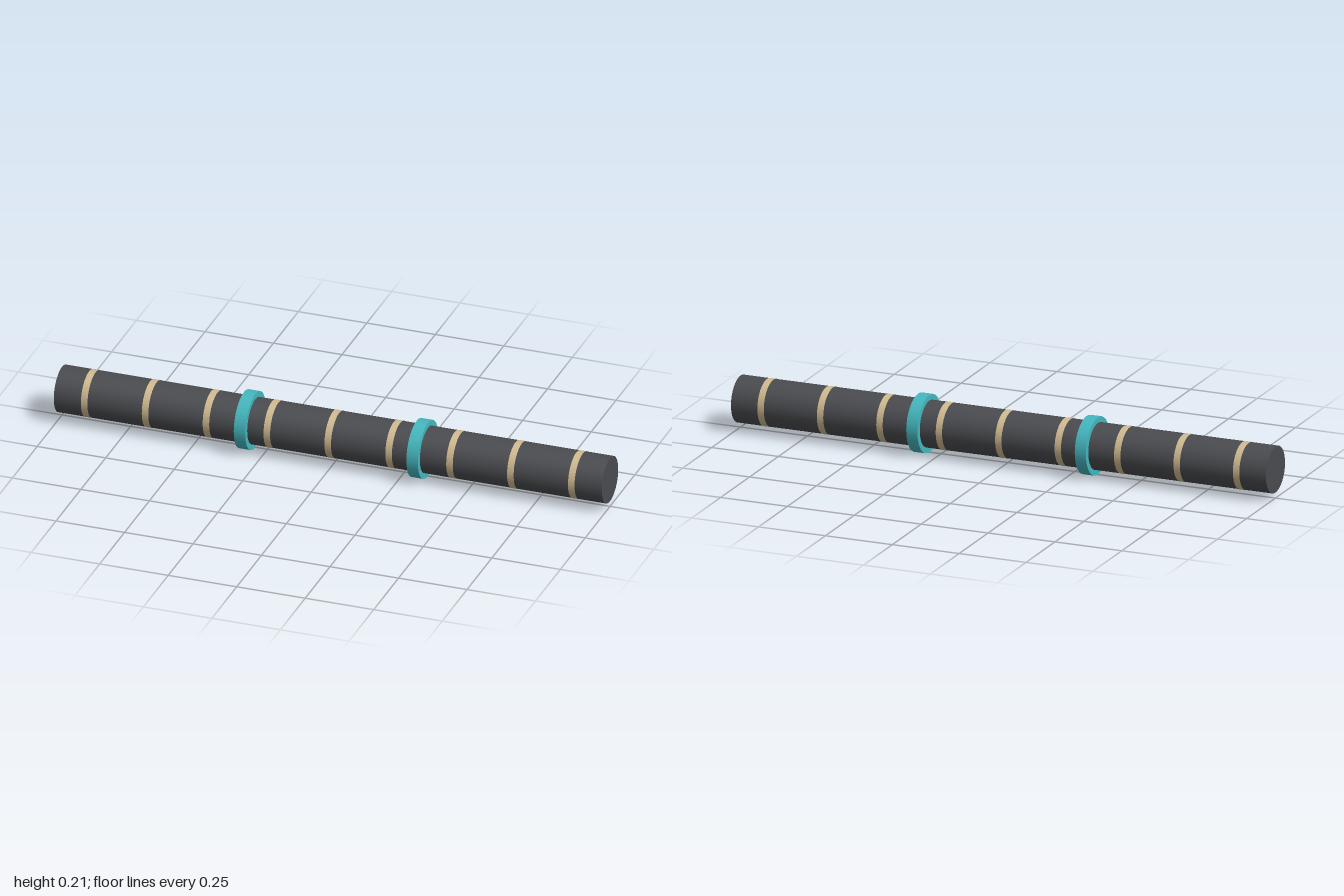
import * as THREE from 'three';

const SIDES = 32;
const TUBE_RADIUS = 0.083;
const RING_RADIUS = 0.103;

export function createModel() {
  const model = new THREE.Group();
  model.name = 'bandedStaff';

  const dark = new THREE.MeshStandardMaterial({ color: 0x4b4c50 });
  const tan = new THREE.MeshStandardMaterial({ color: 0xd2bc92, side: THREE.DoubleSide });
  const teal = new THREE.MeshStandardMaterial({ color: 0x45b8c0 });

  // Cylinder lying along x, centred on the staff axis
  function addCylinder(name, radius, length, x, material, open = false) {
    const geometry = new THREE.CylinderGeometry(radius, radius, length, SIDES, 1, open);
    geometry.rotateZ(-Math.PI / 2);
    const mesh = new THREE.Mesh(geometry, material);
    mesh.name = name;
    mesh.position.set(x, RING_RADIUS, 0);
    model.add(mesh);
  }

  // Main shaft
  addCylinder('shaft', TUBE_RADIUS, 2, 0, dark);

  // Nine evenly spaced inlaid stripes, barely proud of the shaft
  for (let i = -4; i <= 4; i++) {
    addCylinder(`stripe${i + 5}`, TUBE_RADIUS + 0.0008, 0.024, (i * 2) / 9, tan, true);
  }

  // Two raised collars
  addCylinder('rightCollar', RING_RADIUS, 0.042, -0.315, teal);
  addCylinder('leftCollar', RING_RADIUS, 0.042, 0.315, teal);

  return model;
}
